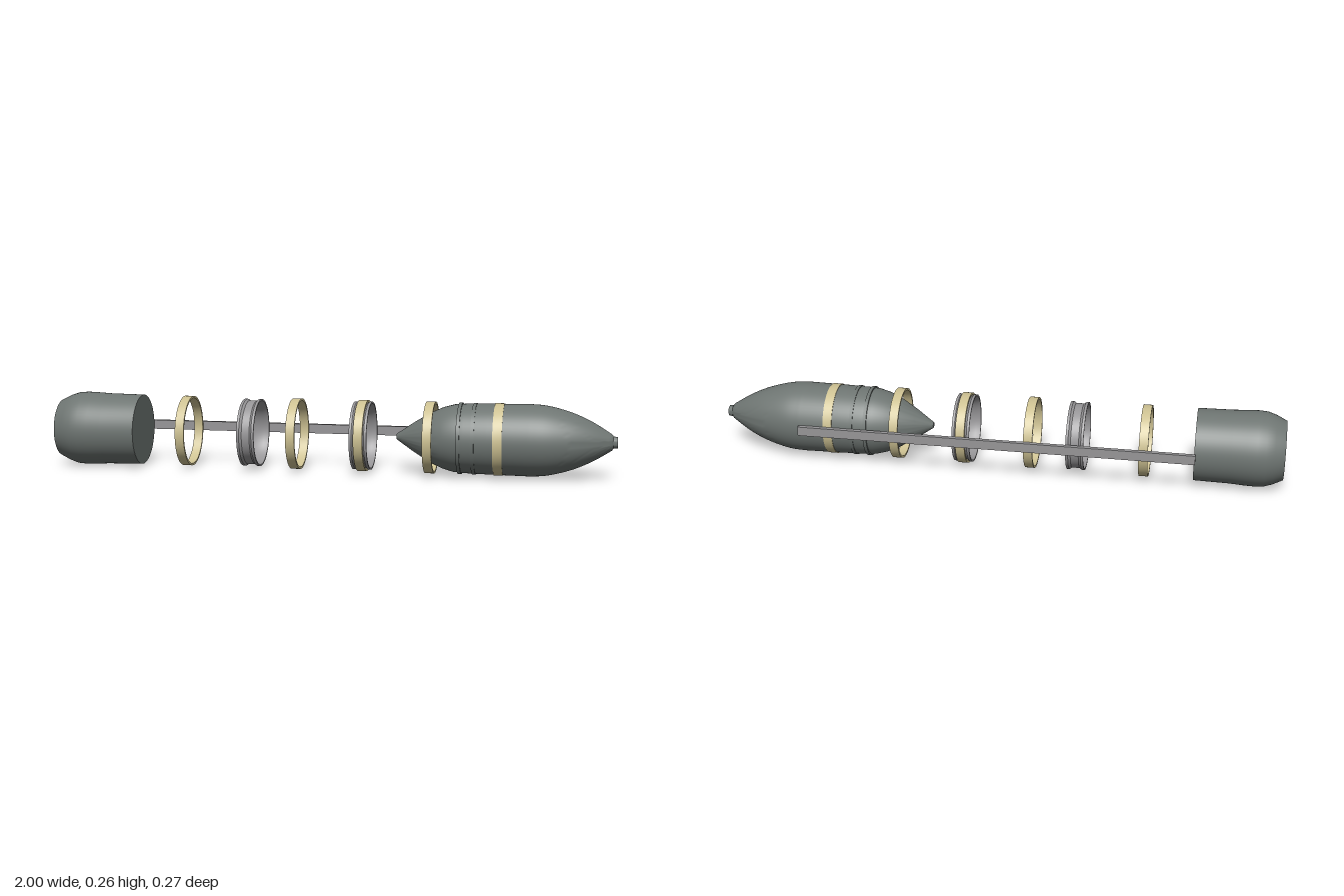
import * as THREE from 'three';
import { toCreasedNormals } from 'three/addons/utils/BufferGeometryUtils.js';

const SEGMENTS = 64;
const AXIS_Y = 0.135;
const AXIS_Z = 0.003;

export function createModel() {
  const model = new THREE.Group();
  model.name = 'explodedShell';

  const material = (name, color) => {
    const m = new THREE.MeshStandardMaterial({ color });
    m.name = name;
    return m;
  };
  const steel = material('dark green grey', 0x6e7572);
  const grey = material('light grey', 0x969597);
  const brass = material('pale yellow', 0xcdc192);

  // Turned part: profile is a list of [x, radius] running towards +x
  function turned(name, profile, mat, x = 0) {
    const pts = profile.map(([a, r]) => new THREE.Vector2(r, a));
    let geo = new THREE.LatheGeometry(pts, SEGMENTS);
    geo.rotateZ(-Math.PI / 2);
    geo = toCreasedNormals(geo, 0.5);
    const mesh = new THREE.Mesh(geo, mat);
    mesh.name = name;
    mesh.position.set(x, AXIS_Y, AXIS_Z);
    model.add(mesh);
    return mesh;
  }

  // Plain band with a rectangular section
  function band(name, x, inner, outer, width, mat) {
    const h = width / 2;
    turned(name, [[-h, inner], [-h, outer], [h, outer], [h, inner], [-h, inner]], mat, x);
  }

  // Collar with flared rims and a shallow waist
  function collar(name, x, rim, mat) {
    const outer = [[-0.031, rim], [-0.022, rim], [-0.014, rim - 0.006],
      [0.014, rim - 0.006], [0.022, rim], [0.031, rim]];
    const inner = [[0.031, rim - 0.006], [0.014, rim - 0.011],
      [-0.014, rim - 0.011], [-0.031, rim - 0.006]];
    turned(name, [...outer, ...inner, outer[0]], mat, x);
  }

  // Rear case with a chamfered tail
  turned('rearCase', [[-1, 0], [-1, 0.103], [-0.965, 0.12], [-0.935, 0.13], [-0.905, 0.132],
    [-0.87, 0.131], [-0.82, 0.128], [-0.695, 0.126], [-0.695, 0]], steel);

  // Nose body with conical rear, ogive and small blunt tip
  const ogive = new THREE.SplineCurve([
    [0.7, 0.125], [0.75, 0.122], [0.8, 0.112], [0.86, 0.093], [0.92, 0.065], [0.98, 0.028],
  ].map(([x, r]) => new THREE.Vector2(x, r))).getPoints(20).map((p) => [p.x, p.y]);
  turned('noseBody', [[0.235, 0], [0.237, 0.01], [0.3, 0.053], [0.36, 0.089], [0.4, 0.107],
    [0.44, 0.118], [0.48, 0.121], [0.56, 0.123], ...ogive,
    [0.985, 0.021], [1, 0.019], [1, 0]], steel);

  // Rims on the nose body
  for (const x of [0.462, 0.512]) band('bodyRim', x, 0.112, 0.1245, 0.012, steel);

  // Light grey collars
  for (const x of [-0.284, 0.117]) collar('collar', x, 0.12, grey);

  // Yellow bands, evenly spaced along the axis
  for (const x of [-0.522, -0.122, 0.118, 0.357, 0.597]) {
    band('band', x, 0.118, 0.1255, 0.032, brass);
  }

  // Support rail along the back
  const rail = new THREE.Mesh(new THREE.BoxGeometry(1.4, 0.033, 0.016), grey);
  rail.name = 'supportRail';
  rail.position.set(0, 0.136, -0.13);
  model.add(rail);

  return model;
}
